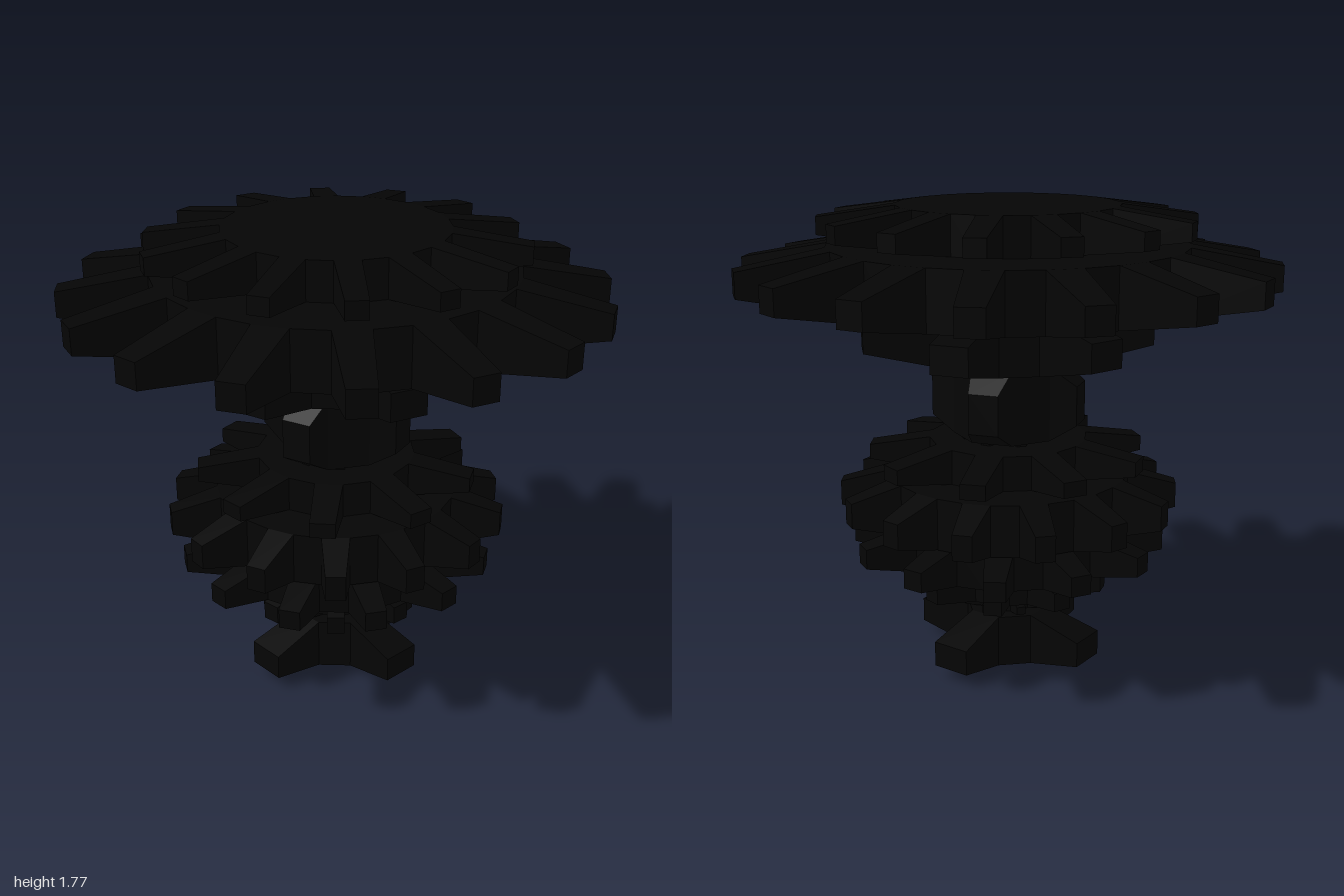
import * as THREE from 'three';

const material = new THREE.MeshStandardMaterial({ color: 0x050505, flatShading: true });

// Gear with tapered teeth: root ring at full height, tips lower and narrower
function gearGeometry({ teeth, root, tip, y0, y1, tipY0, tipY1, turn }) {
  const pos = [];
  const tri = (a, b, c) => pos.push(...a, ...b, ...c);
  const quad = (a, b, c, d) => { tri(a, b, c); tri(a, c, d); };
  const at = (r, y, a) => [r * Math.cos(a), y, r * Math.sin(a)];
  const pitch = (Math.PI * 2) / teeth;
  const top = [0, y1, 0], bottom = [0, y0, 0];

  for (let i = 0; i < teeth; i++) {
    const mid = THREE.MathUtils.degToRad(turn) + i * pitch;
    const a0 = mid - pitch / 4, a1 = mid + pitch / 4, a2 = mid + pitch * 0.75;
    const b0 = at(root, y0, a0), b1 = at(root, y0, a1), b2 = at(root, y0, a2);
    const t0 = at(root, y1, a0), t1 = at(root, y1, a1), t2 = at(root, y1, a2);
    const B0 = at(tip, tipY0, mid - pitch / 8), B1 = at(tip, tipY0, mid + pitch / 8);
    const T0 = at(tip, tipY1, mid - pitch / 8), T1 = at(tip, tipY1, mid + pitch / 8);

    // caps
    tri(top, t1, t0); tri(top, t2, t1);
    tri(bottom, b0, b1); tri(bottom, b1, b2);
    // tooth: end, upper, lower and two flanks
    quad(B0, T0, T1, B1);
    quad(t0, t1, T1, T0);
    quad(b0, B0, B1, b1);
    quad(b0, t0, T0, B0);
    quad(b1, B1, T1, t1);
    // wall of the gap
    quad(b1, t1, t2, b2);
  }
  const geometry = new THREE.BufferGeometry();
  geometry.setAttribute('position', new THREE.Float32BufferAttribute(pos, 3));
  geometry.computeVertexNormals();
  return geometry;
}

// Stack from the ground up; turn is the angle of one tooth in degrees from +x towards +z
const gears = [
  { name: 'footGear', teeth: 4, root: 0.165, tip: 0.381, y0: 0, y1: 0.202, tipY0: 0.05, tipY1: 0.147, turn: 7 },
  { name: 'ankleGear', teeth: 8, root: 0.1, tip: 0.18, y0: 0.202, y1: 0.268, tipY0: 0.22, tipY1: 0.25, turn: 0 },
  { name: 'lowerGear', teeth: 9, root: 0.2, tip: 0.385, y0: 0.268, y1: 0.417, tipY0: 0.307, tipY1: 0.377, turn: 180 },
  { name: 'bellyGearLower', teeth: 12, root: 0.41, tip: 0.6, y0: 0.417, y1: 0.567, tipY0: 0.455, tipY1: 0.53, turn: 6 },
  { name: 'bellyGearUpper', teeth: 14, root: 0.46, tip: 0.645, y0: 0.567, y1: 0.762, tipY0: 0.617, tipY1: 0.712, turn: 11.4 },
  { name: 'shoulderGear', teeth: 9, root: 0.3, tip: 0.53, y0: 0.762, y1: 0.893, tipY0: 0.8, tipY1: 0.857, turn: 25 },
  { name: 'washerGear', teeth: 8, root: 0.13, tip: 0.18, y0: 0.89, y1: 0.906, tipY0: 0.895, tipY1: 0.903, turn: 0 },
  { name: 'neckGear', teeth: 4, root: 0.205, tip: 0.292, y0: 0.905, y1: 1.185, tipY0: 0.965, tipY1: 1.115, turn: -10 },
  { name: 'collarGear', teeth: 6, root: 0.28, tip: 0.55, y0: 1.18, y1: 1.41, tipY0: 1.24, tipY1: 1.345, turn: -7 },
  { name: 'largeGear', teeth: 16, root: 0.67, tip: 1, y0: 1.408, y1: 1.625, tipY0: 1.47, tipY1: 1.565, turn: 0.5 },
  { name: 'topGear', teeth: 14, root: 0.415, tip: 0.698, y0: 1.625, y1: 1.77, tipY0: 1.665, tipY1: 1.73, turn: 5.9 },
];

export function createModel() {
  const model = new THREE.Group();
  model.name = 'gearStack';
  for (const gear of gears) {
    const mesh = new THREE.Mesh(gearGeometry(gear), material);
    mesh.name = gear.name;
    model.add(mesh);
  }
  return model;
}
